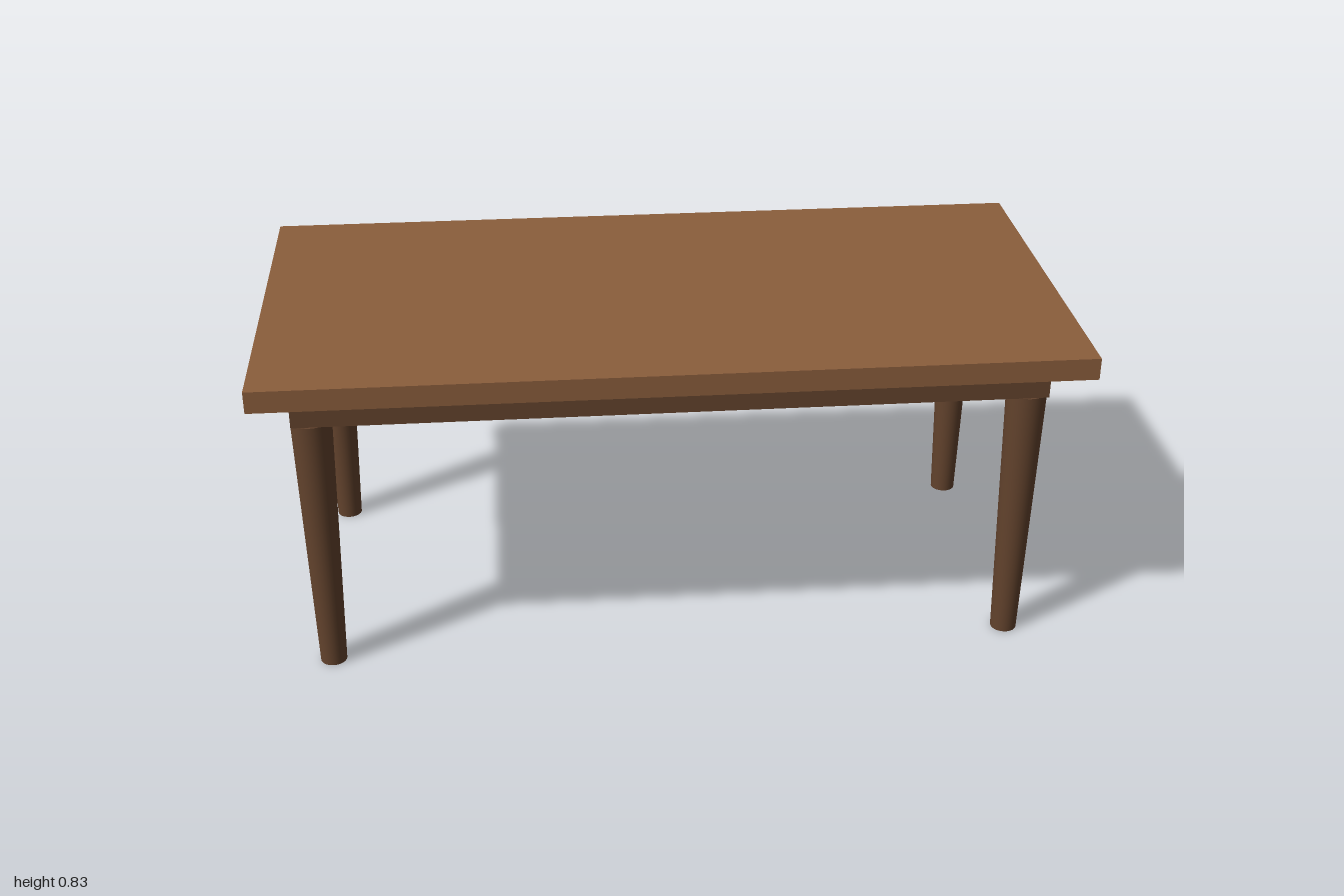
import * as THREE from 'three';

const LEG_HEIGHT = 0.689;
const APRON_HEIGHT = 0.089;
const TOP_THICKNESS = 0.055;
const LEG_X = 0.867;
const LEG_Z = 0.367;
const RAIL = 0.089; // apron rail thickness, centred on the legs

export function createModel() {
  const table = new THREE.Group();
  table.name = 'table';
  const topWood = new THREE.MeshStandardMaterial({ color: 0x8b5e3c });
  const darkWood = new THREE.MeshStandardMaterial({ color: 0x63432d });

  const add = (name, geometry, material, x, y, z) => {
    const mesh = new THREE.Mesh(geometry, material);
    mesh.name = name;
    mesh.position.set(x, y, z);
    table.add(mesh);
  };

  // Table top
  const apronTop = LEG_HEIGHT + APRON_HEIGHT;
  add('tabletop', new THREE.BoxGeometry(2, TOP_THICKNESS, 1), topWood, 0, apronTop + TOP_THICKNESS / 2, 0);

  // Apron: a rectangular frame open in the middle
  const rectangle = (path, hx, hz) =>
    path.moveTo(-hx, -hz).lineTo(hx, -hz).lineTo(hx, hz).lineTo(-hx, hz).closePath();
  const frame = rectangle(new THREE.Shape(), LEG_X + RAIL / 2, LEG_Z + RAIL / 2);
  frame.holes.push(rectangle(new THREE.Path(), LEG_X - RAIL / 2, LEG_Z - RAIL / 2));
  const apron = new THREE.ExtrudeGeometry(frame, { depth: APRON_HEIGHT, bevelEnabled: false });
  apron.rotateX(-Math.PI / 2);
  add('apron', apron, darkWood, 0, LEG_HEIGHT, 0);

  // Four round legs, tapering toward the floor
  const leg = new THREE.CylinderGeometry(0.05, 0.033, LEG_HEIGHT, 32);
  for (const [front, z] of [['front', LEG_Z], ['back', -LEG_Z]]) {
    for (const [side, x] of [['Left', LEG_X], ['Right', -LEG_X]]) {
      add(`${front}${side}Leg`, leg, darkWood, x, LEG_HEIGHT / 2, z);
    }
  }
  return table;
}
